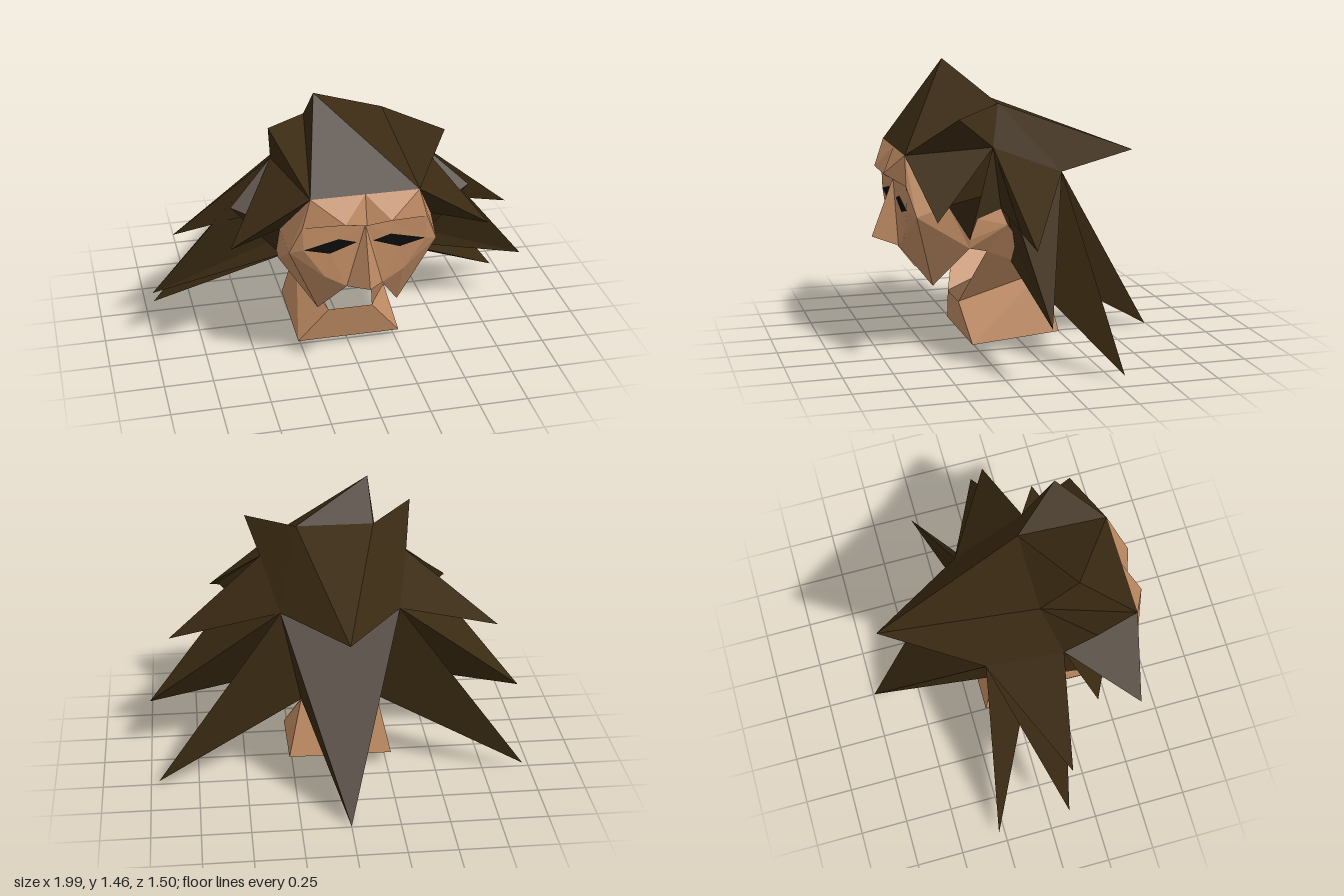
import * as THREE from 'three';

const mat = (color) => new THREE.MeshStandardMaterial({ color, flatShading: true, side: THREE.DoubleSide });
const skin = mat(0xc08c64), hair = mat(0x3a2a12), black = mat(0x0b0b0b);
const flip = ([x, y, z]) => [-x, y, z];

// Low-poly patch: triangles (or quads, as fans) turned to face away from a centre point
function patch(name, material, polys, centre) {
  const pos = [], c = new THREE.Vector3(...centre);
  for (const poly of polys) {
    const p = poly.map((q) => new THREE.Vector3(...q));
    for (let i = 1; i < p.length - 1; i++) {
      const t = [p[0], p[i], p[i + 1]];
      const n = t[1].clone().sub(t[0]).cross(t[2].clone().sub(t[0]));
      const mid = t[0].clone().add(t[1]).add(t[2]).divideScalar(3);
      if (n.dot(mid.sub(c)) < 0) t.reverse();
      t.forEach((v) => pos.push(v.x, v.y, v.z));
    }
  }
  const g = new THREE.BufferGeometry();
  g.setAttribute('position', new THREE.Float32BufferAttribute(pos, 3));
  g.computeVertexNormals();
  const mesh = new THREE.Mesh(g, material);
  mesh.name = name;
  return mesh;
}

// Lock of hair: a pointed pyramid without its base
function spike(name, tip, base) {
  const all = [tip, ...base];
  const centre = [0, 1, 2].map((k) => all.reduce((s, p) => s + p[k], 0) / all.length);
  const sides = base.map((b, i) => [tip, b, base[(i + 1) % base.length]]);
  return patch(name, hair, sides, centre);
}

const mirrored = (polys) => [...polys, ...polys.map((poly) => poly.map(flip))];

export function createModel() {
  const model = new THREE.Group();
  model.name = 'spikyHairedHead';
  const head = [0, 0.75, 0.2];

  // Hair anchor points on the +x side
  const hairline = [0.27, 1.04, 0.63], crown = [0.2, 1.27, 0.135];
  const temple = [0.385, 1.08, 0.21], back = [0.305, 0.925, -0.17];
  const nape = [0.2, 0.388, -0.1], behindEar = [0.28, 0.57, 0.08], underEar = [0.25, 0.47, 0.085];
  const sideburn = [0.385, 0.62, 0.33], cheekHair = [0.385, 0.8, 0.44];
  const lobe = [0.385, 0.725, 0.29], ear = [0.385, 0.77, 0.17];
  const peak = [-0.19, 1.46, 0.33];
  const backTip = [0, 0.965, -0.66], tailTip = [0, 0.002, -0.745];

  // Hair cap over the skull
  model.add(patch('hairCap', hair, mirrored([
    [crown, temple, back], [crown, back, backTip],
    [temple, hairline, cheekHair], [temple, cheekHair, sideburn],
    [temple, sideburn, lobe], [temple, lobe, ear], [temple, ear, back], [back, ear, behindEar],
  ]), head));
  model.add(patch('hairCrown', hair, [[crown, flip(crown), backTip]], head));
  model.add(patch('backLockUnderside', hair, [[back, flip(back), backTip]], [0, 1.5, -0.3]));

  // Fringe peak and long tail at the back
  model.add(spike('fringePeak', peak, [hairline, crown, flip(crown), flip(hairline)]));
  model.add(spike('tailLock', tailTip, [back, flip(back), flip(nape), nape]));

  // Side locks
  for (const s of [1, -1]) {
    const m = (p) => (s > 0 ? p : flip(p));
    const side = s > 0 ? 'left' : 'right';
    const topTip = s > 0 ? [0.455, 1.235, 0.4] : [-0.42, 1.31, 0.36];
    const lock = (name, tip, base) => model.add(spike(side + name, tip, base.map(m)));
    lock('TopLock', topTip, [hairline, crown, temple]);
    lock('FrontLock', m([0.65, 0.775, 0.555]), [hairline, temple, cheekHair]);
    lock('TempleLock', m([0.61, 0.885, 0.33]), [temple, sideburn, cheekHair]);
    lock('UpperSideLock', m([0.88, 0.661, 0.13]), [temple, back, ear]);
    lock('MiddleSideLock', m([0.995, 0.313, 0.09]), [temple, back, underEar, behindEar]);
    lock('LowerSideLock', m([0.958, 0.042, -0.285]), [back, nape, underEar]);
  }

  // Face points on the +x side
  const top = [0, 1.04, 0.63], browMid = [0, 0.89, 0.67], brow = [0.115, 0.925, 0.708];
  const browEnd = [0.31, 0.89, 0.633], bridge = [0, 0.88, 0.635], underBrow = [0.12, 0.885, 0.63];
  const eyeIn = [0.04, 0.785, 0.63], eyeTop = [0.13, 0.812, 0.63];
  const eyeOut = [0.305, 0.77, 0.63], eyeLow = [0.175, 0.737, 0.63];
  const noseTip = [0, 0.58, 0.75], nostril = [0.09, 0.545, 0.63];
  const cheek = [0.2, 0.61, 0.625], jaw = [0.205, 0.352, 0.48];
  const cheekbone = [0.37, 0.745, 0.595], jawBack = [0.375, 0.575, 0.33];
  const earLow = [0.405, 0.69, 0.14], neckTop = [0.33, 0.545, 0.23];

  model.add(patch('face', skin, mirrored([
    [top, browMid, brow], [top, brow, hairline], [hairline, brow, browEnd],
    [browMid, bridge, underBrow, brow], [brow, underBrow, browEnd],
    [bridge, eyeIn, eyeTop, underBrow], [underBrow, eyeTop, eyeOut, browEnd],
    [bridge, noseTip, nostril], [bridge, nostril, eyeIn],
    [eyeIn, nostril, eyeLow], [eyeLow, nostril, cheek], [eyeLow, cheek, eyeOut],
    [nostril, jaw, cheek], [cheek, jaw, cheekbone], [cheek, cheekbone, eyeOut],
    [hairline, browEnd, cheekbone], [browEnd, eyeOut, cheekbone],
    [hairline, cheekbone, cheekHair], [cheekbone, jaw, jawBack],
    [cheekHair, cheekbone, jawBack, sideburn], [sideburn, jawBack, earLow],
    [lobe, sideburn, earLow, ear], [jawBack, neckTop, earLow],
  ]), head));
  model.add(patch('eyes', black, mirrored([[eyeIn, eyeTop, eyeOut, eyeLow]]), head));

  // Neck, open at the throat and the bottom
  const baseFront = [0.27, 0.043, 0.29], throat = [0.115, 0.235, 0.325];
  const baseBack = [0.27, 0.08, -0.17];
  model.add(patch('neck', skin, [
    ...mirrored([
      [baseFront, throat, nape], [baseFront, nape, baseBack],
      [throat, neckTop, nape], [neckTop, earLow, nape],
    ]),
    [baseFront, flip(baseFront), flip(throat), throat],
    [baseBack, flip(baseBack), flip(nape), nape],
  ], [0, 0.18, 0.1]));

  return model;
}
